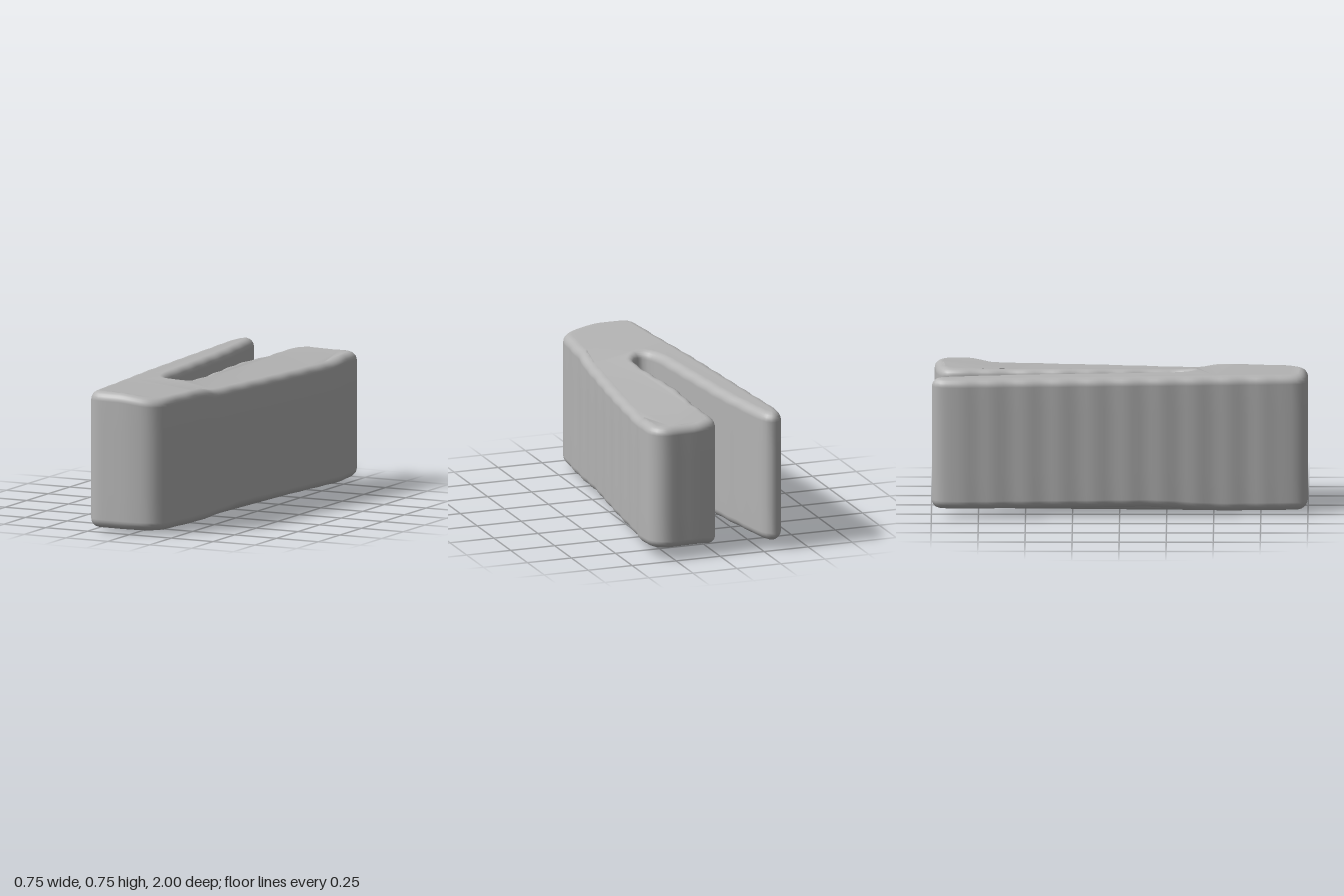
import * as THREE from 'three';
import { mergeVertices } from 'three/addons/utils/BufferGeometryUtils.js';

const grey = new THREE.MeshStandardMaterial({ color: 0xb4b4b4 });
grey.name = 'clay grey';

// Plan outline of the fork, as [x, z]
const outline = [
  [-0.22, 0.99], [-0.1, 1.0], [0.02, 0.995], [0.11, 0.97], [0.165, 0.91], [0.185, 0.8],
  [0.205, 0.6], [0.24, 0.3], [0.28, 0], [0.315, -0.3], [0.345, -0.6], [0.375, -0.85],
  [0.365, -0.93], [0.31, -0.98], [0.2, -0.98], [0.06, -0.965], [0.005, -0.93], [-0.012, -0.86],
  [-0.012, -0.6], [-0.025, -0.3], [-0.012, 0], [-0.004, 0.24], [-0.02, 0.33], [-0.07, 0.38],
  [-0.115, 0.33], [-0.135, 0.2], [-0.15, 0], [-0.17, -0.25], [-0.19, -0.5], [-0.225, -0.75],
  [-0.25, -0.91], [-0.27, -0.97], [-0.31, -1.0], [-0.355, -0.97], [-0.375, -0.88],
  [-0.362, -0.6], [-0.335, -0.1], [-0.31, 0.3], [-0.28, 0.65], [-0.262, 0.9], [-0.25, 0.96],
];

const smooth = THREE.MathUtils.smoothstep;

// Top and bottom heights drift gently over the plan
function topAt(x, z) {
  const lowSide = smooth(x, -0.08, 0.14) * (1 - 0.5 * smooth(z, 0.4, 0.55));
  const heel = 0.022 * smooth(-z, 0.65, 0.82) * smooth(x, 0, 0.1);
  return 0.753 - 0.043 * lowSide + heel;
}
function bottomAt(x, z) {
  return 0.048 - 0.028 * smooth(z, 0.1, 0.6) + 0.015 * smooth(-z, 0.7, 0.95) * smooth(x, 0, 0.1);
}

function forkGeometry() {
  const curve = new THREE.CatmullRomCurve3(
    outline.map(([x, z]) => new THREE.Vector3(x, -z, 0)), true, 'centripetal');
  const points = curve.getSpacedPoints(240).slice(0, -1).map(p => {
    // faint ripples along the long sides
    const fade = 1 - smooth(Math.abs(p.y), 0.75, 0.9);
    return new THREE.Vector2(p.x + 0.003 * fade * Math.sin(p.y * 35), p.y);
  });
  const round = 0.045, height = 0.7;
  let geo = new THREE.ExtrudeGeometry(new THREE.Shape(points), {
    depth: height - 2 * round, steps: 4, bevelEnabled: true, bevelThickness: round,
    bevelSize: round, bevelOffset: -round, bevelSegments: 6,
  });
  geo.translate(0, 0, round);
  geo.rotateX(-Math.PI / 2);
  const pos = geo.attributes.position;
  for (let i = 0; i < pos.count; i++) {
    const x = pos.getX(i), z = pos.getZ(i), low = bottomAt(x, z);
    pos.setY(i, low + (pos.getY(i) / height) * (topAt(x, z) - low));
  }
  geo.deleteAttribute('normal');
  geo.deleteAttribute('uv');
  geo = mergeVertices(geo, 1e-4);
  geo.computeVertexNormals();
  return geo;
}

export function createModel() {
  const group = new THREE.Group();
  group.name = 'forkedBlock';

  // Solid front block with two arms running back
  const body = new THREE.Mesh(forkGeometry(), grey);
  body.name = 'forkBody';
  group.add(body);

  // Shallow swelling under the front block
  const bulge = new THREE.Mesh(new THREE.SphereGeometry(1, 32, 16), grey);
  bulge.name = 'bottomBulge';
  bulge.scale.set(0.14, 0.035, 0.22);
  bulge.position.set(-0.01, 0.035, 0.68);
  group.add(bulge);

  return group;
}
